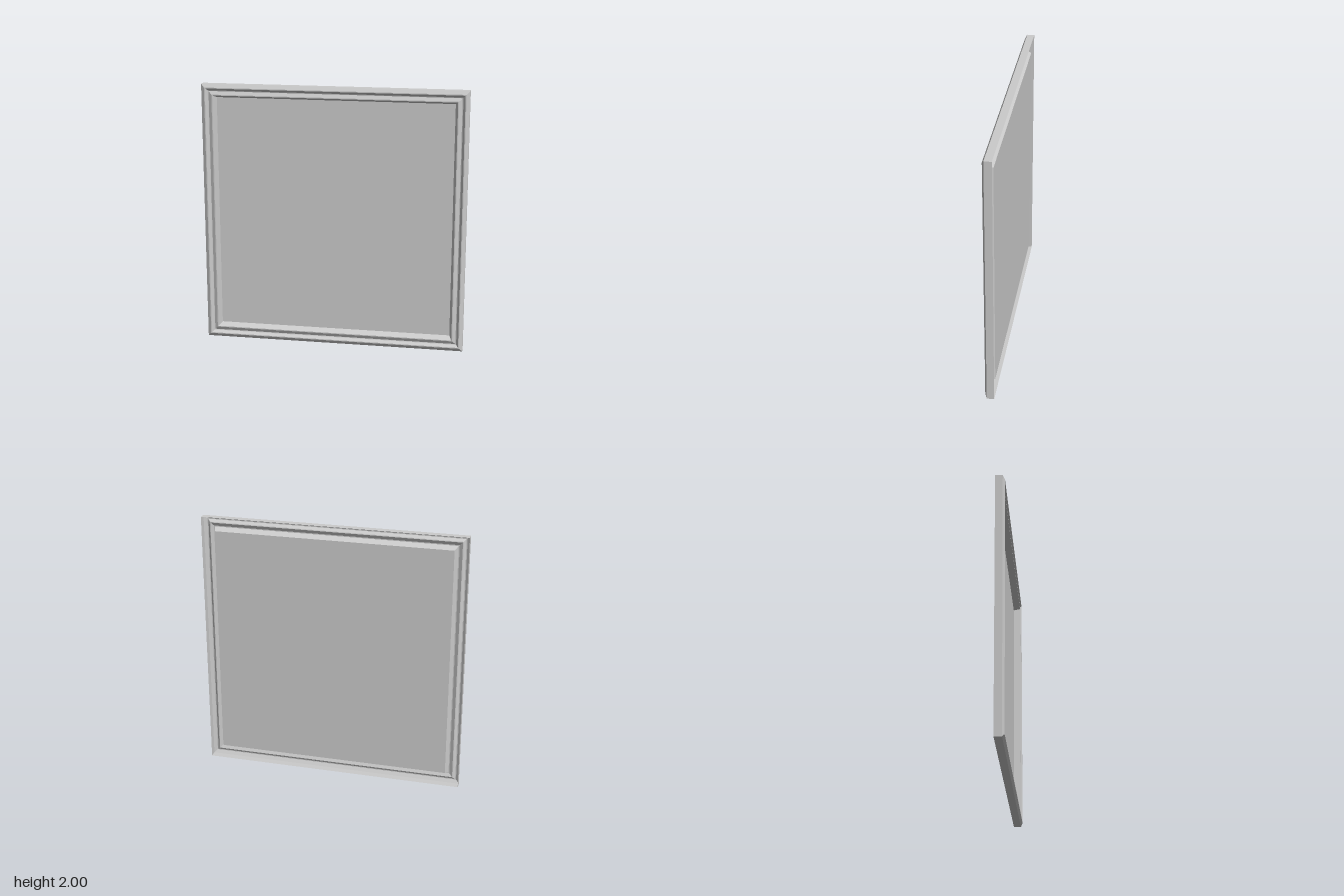
import * as THREE from 'three';

// Moulding section: [inset from the outer edge, z], from the back rim to the panel
const PROFILE = [
  [0, -0.035], [0, 0.02], [0.025, 0.035], [0.032, 0.035],
  [0.048, 0.016], [0.054, 0.014], [0.078, 0.026], [0.085, 0.026],
  [0.093, 0.005], [0.105, -0.027],
];
const CORNERS = [[-1, -1], [1, -1], [1, 1], [-1, 1]];

// One mitred rail of the hollow moulding, between two neighbouring corners
function railGeometry(side) {
  const point = (corner, [inset, z]) => {
    const [sx, sy] = CORNERS[corner % 4];
    return [sx * (1 - inset), 1 + sy * (1 - inset), z];
  };
  const positions = [];
  for (let i = 0; i < PROFILE.length - 1; i++) {
    const a = point(side, PROFILE[i]);
    const b = point(side + 1, PROFILE[i]);
    const c = point(side + 1, PROFILE[i + 1]);
    const d = point(side, PROFILE[i + 1]);
    positions.push(...a, ...b, ...c, ...a, ...c, ...d);
  }
  const geometry = new THREE.BufferGeometry();
  geometry.setAttribute('position', new THREE.Float32BufferAttribute(positions, 3));
  geometry.computeVertexNormals();
  return geometry;
}

export function createModel() {
  const model = new THREE.Group();
  model.name = 'framedPanel';
  const material = new THREE.MeshStandardMaterial({
    color: 0xcccccc, flatShading: true, side: THREE.DoubleSide,
  });

  // Four mitred rails, open at the back
  const frame = new THREE.Group();
  frame.name = 'frame';
  ['bottomRail', 'leftRail', 'topRail', 'rightRail'].forEach((name, side) => {
    const rail = new THREE.Mesh(railGeometry(side), material);
    rail.name = name;
    frame.add(rail);
  });
  model.add(frame);

  // Thin flat panel closing the opening
  const [inset, z] = PROFILE[PROFILE.length - 1];
  const size = 2 * (1 - inset);
  const panel = new THREE.Mesh(new THREE.PlaneGeometry(size, size), material);
  panel.name = 'panel';
  panel.position.set(0, 1, z);
  model.add(panel);

  return model;
}
